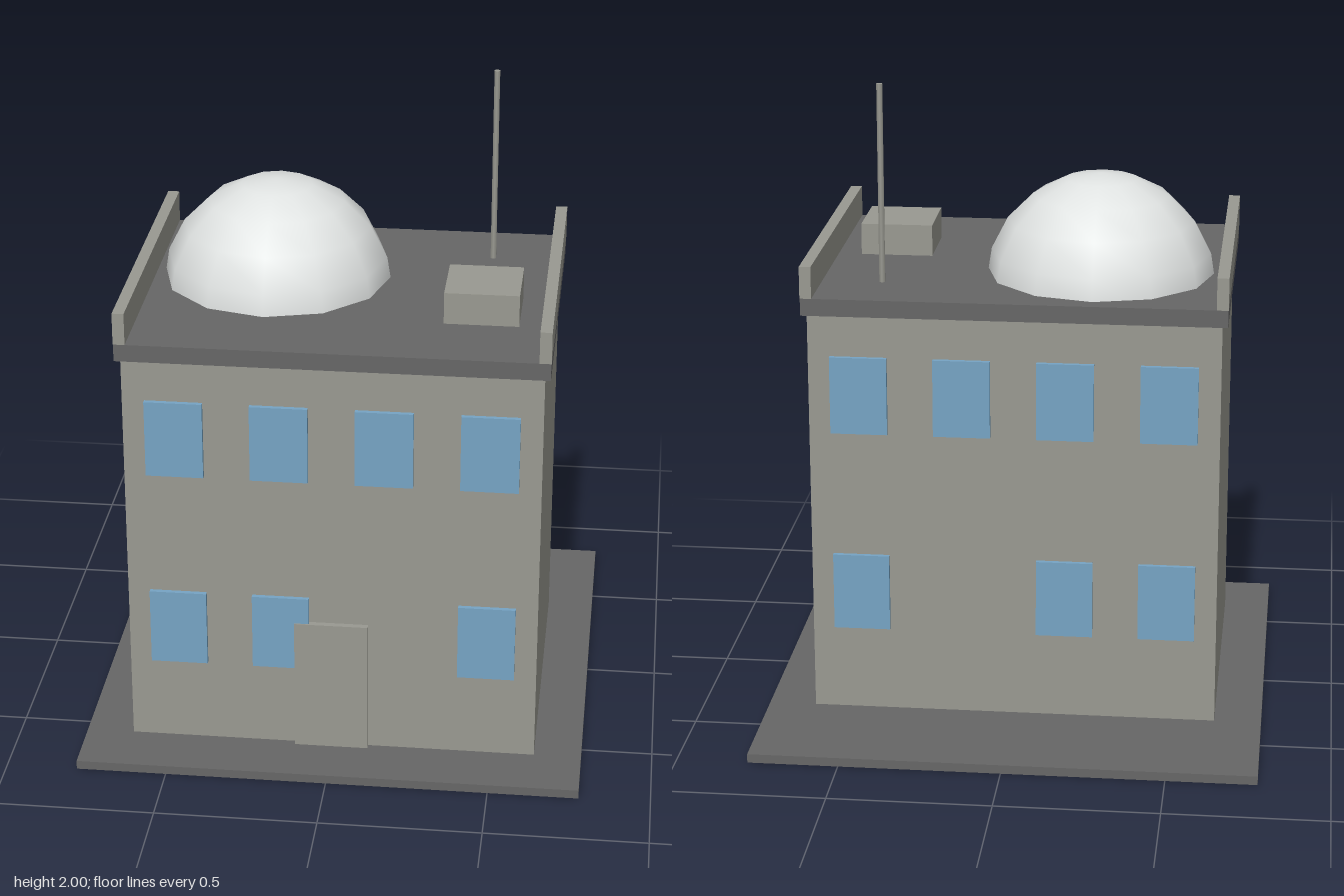
import * as THREE from 'three';

const mat = (name, color) => {
  const m = new THREE.MeshStandardMaterial({ color });
  m.name = name;
  return m;
};

export function createModel() {
  const group = new THREE.Group();
  const concrete = mat('concrete', 0x999991);
  const darkGrey = mat('dark grey', 0x666666);
  const glass = mat('window blue', 0x76a4c4);
  const white = mat('dome white', 0xe0e3e2);

  const add = (name, geometry, material, x, y, z) => {
    const mesh = new THREE.Mesh(geometry, material);
    mesh.name = name;
    mesh.position.set(x, y, z);
    group.add(mesh);
    return mesh;
  };
  // Box given by its min and max on each axis
  const box = (name, material, [x0, x1], [y0, y1], [z0, z1]) =>
    add(name, new THREE.BoxGeometry(x1 - x0, y1 - y0, z1 - z0), material,
      (x0 + x1) / 2, (y0 + y1) / 2, (z0 + z1) / 2);

  // Ground slab, main block and roof
  box('baseSlab', darkGrey, [-0.78, 0.78], [0, 0.028], [-0.78, 0.78]);
  box('building', concrete, [-0.633, 0.633], [0.028, 1.322], [-0.39, 0.589]);
  box('roofSlab', darkGrey, [-0.65, 0.65], [1.322, 1.376], [-0.407, 0.605]);

  // Parapets along both sides of the roof
  for (const s of [-1, 1]) {
    const xs = [s * 0.615, s * 0.651].sort((a, b) => a - b);
    box('parapet', concrete, xs, [1.376, 1.476], [-0.407, 0.605]);
  }

  // Windows, front and back; the lower row skips one bay
  const bays = [-0.477, -0.159, 0.159, 0.477];
  for (const z of [0.596, -0.397]) {
    for (const y of [0.423, 1.068]) {
      bays.forEach((x, i) => {
        if (y < 1 && i === 2) return;
        add('window', new THREE.BoxGeometry(0.176, 0.245, 0.015), glass, x, y, z);
      });
    }
  }

  // Door
  box('door', concrete, [-0.116, 0.112], [0.028, 0.46], [0.585, 0.608]);

  // Roof dome, slightly sunk into the slab
  add('dome', new THREE.SphereGeometry(0.362, 12, 5, 0, Math.PI * 2, 0, Math.PI / 2),
    white, -0.236, 1.33, 0);

  // Roof unit and antenna mast
  box('roofUnit', concrete, [0.313, 0.541], [1.376, 1.476], [0.117, 0.344]);
  add('antenna', new THREE.CylinderGeometry(0.01, 0.01, 0.626, 6), concrete, 0.428, 1.687, -0.195);

  return group;
}
